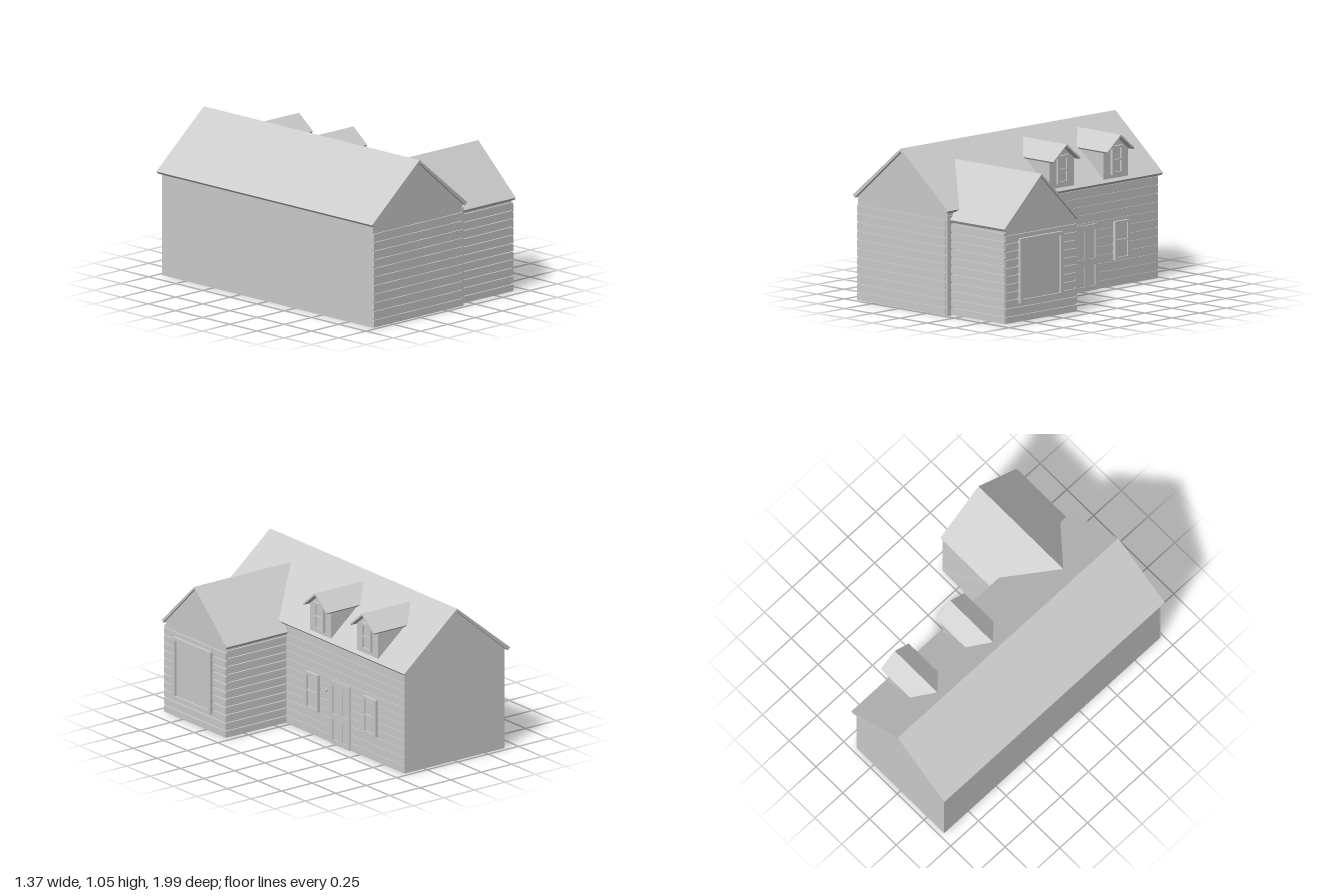
import * as THREE from 'three';

const grey = new THREE.MeshStandardMaterial({ color: 0xcccccc, flatShading: true });

function add(parent, name, geometry) {
  const mesh = new THREE.Mesh(geometry, grey);
  mesh.name = name;
  parent.add(mesh);
  return mesh;
}

// Box given by its lower and upper corners
function block(parent, name, [x0, y0, z0], [x1, y1, z1]) {
  const mesh = add(parent, name, new THREE.BoxGeometry(x1 - x0, y1 - y0, z1 - z0));
  mesh.position.set((x0 + x1) / 2, (y0 + y1) / 2, (z0 + z1) / 2);
  return mesh;
}

function shapeOf(points) {
  return new THREE.Shape(points.map(([x, y]) => new THREE.Vector2(x, y)));
}

function extrude(shape, from, to) {
  return new THREE.ExtrudeGeometry(shape, { depth: to - from, bevelEnabled: false }).translate(0, 0, from);
}

// Symmetric gabled wall block, half-width w
const gableWall = (w, base, eave, ridge) =>
  shapeOf([[-w, base], [w, base], [w, eave], [0, ridge], [-w, eave]]);

// Roof section: outer eave (w, eave), inner eave (wi, eaveIn)
const gableRoof = (w, eave, ridge, wi, eaveIn, ridgeIn) =>
  shapeOf([[w, eave], [0, ridge], [-w, eave], [-wi, eaveIn], [0, ridgeIn], [wi, eaveIn]]);

// Stack of horizontal boards between two plan corners
function siding(parent, name, x0, x1, z0, z1, base, pitch, count, gap) {
  const group = new THREE.Group();
  group.name = name;
  for (let i = 0; i < count; i++) {
    const y = base + i * pitch;
    block(group, 'board', [x0, y, z0], [x1, y + pitch - gap, z1]);
  }
  parent.add(group);
}

// Panel facing +x with rectangular holes, centred on z; holes as [z0, y0, z1, y1]
function panelFacingX(parent, name, hw, y0, y1, holes, x0, x1, z) {
  const shape = shapeOf([[-hw, y0], [hw, y0], [hw, y1], [-hw, y1]]);
  for (const [a, b, c, d] of holes) shape.holes.push(shapeOf([[a, b], [a, d], [c, d], [c, b]]));
  const mesh = add(parent, name, extrude(shape, x0, x1).rotateY(Math.PI / 2));
  mesh.position.z = z;
}

// Framed sash window with two stacked panes
function sashWindow(parent, hw, y0, y1, x0, x1, z) {
  const group = new THREE.Group();
  group.name = 'window';
  const b = 0.016, mid = (y0 + y1) / 2;
  panelFacingX(group, 'windowFrame', hw, y0, y1, [
    [-hw + b, y0 + b, hw - b, mid - 0.005],
    [-hw + b, mid + 0.005, hw - b, y1 - b],
  ], x0, x1, z);
  block(group, 'windowGlass', [x0, y0 + b, z - hw + b], [x1 - 0.012, y1 - b, z + hw - b]);
  parent.add(group);
}

function dormer(parent, z) {
  const group = new THREE.Group();
  group.name = 'dormer';
  const walls = extrude(gableWall(0.112, 0.712, 0.9, 0.988), -0.15, 0.163).rotateY(Math.PI / 2);
  add(group, 'dormerWalls', walls);
  const roof = extrude(gableRoof(0.127, 0.9, 1.002, 0.12, 0.89, 0.988), -0.188, 0.21).rotateY(Math.PI / 2);
  add(group, 'dormerRoof', roof);
  sashWindow(group, 0.05, 0.738, 0.925, 0.16, 0.18, 0);
  group.position.z = z;
  parent.add(group);
}

export function createModel() {
  const house = new THREE.Group();
  house.name = 'house';

  // Main block with its roof along z
  const main = new THREE.Group();
  main.name = 'mainBlock';
  house.add(main);
  add(main, 'mainWalls', extrude(gableWall(0.407, 0, 0.69, 1.032), -0.97, 0.97)).position.x = -0.25;
  add(main, 'mainRoof', extrude(gableRoof(0.435, 0.694, 1.053, 0.417, 0.677, 1.032), -0.995, 0.99)).position.x = -0.25;
  siding(main, 'frontSiding', -0.657, 0.151, 0.965, 0.98, 0.003, 0.0577, 11, 0.01);
  siding(main, 'sideSiding', 0.15, 0.163, -0.968, 0.285, 0, 0.0565, 12, 0.006);
  block(main, 'cornerPost', [0.152, 0, 0.93], [0.165, 0.66, 0.975]);

  // Side wing with its roof along x
  const wing = new THREE.Group();
  wing.name = 'wing';
  wing.position.z = 0.612;
  house.add(wing);
  add(wing, 'wingWalls', extrude(gableWall(0.32, 0.003, 0.63, 0.936), 0, 0.648).rotateY(Math.PI / 2));
  add(wing, 'wingRoof', extrude(gableRoof(0.344, 0.63, 0.953, 0.333, 0.613, 0.936), -0.128, 0.664).rotateY(Math.PI / 2));
  for (const s of [-1, 1]) {
    const z = s * 0.325;
    siding(wing, 'wingSideSiding', 0.163, 0.65, z - 0.007, z + 0.007, 0.005, 0.055, 11, 0.011);
  }
  siding(wing, 'wingEndSiding', 0.64, 0.66, -0.328, 0.328, 0.005, 0.0535, 11, 0.011);

  // Large picture window on the wing end
  panelFacingX(wing, 'pictureWindowFrame', 0.2, 0.128, 0.555, [[-0.174, 0.152, 0.174, 0.532]], 0.645, 0.68, 0.012);
  block(wing, 'pictureWindowGlass', [0.64, 0.15, -0.164], [0.667, 0.534, 0.188]);

  // Side windows, door and knob
  for (const z of [-0.008, -0.622]) sashWindow(main, 0.067, 0.173, 0.427, 0.155, 0.184, z);
  const panels = [];
  for (const s of [-1, 1]) {
    const a = s * 0.05 - 0.03;
    panels.push([a, 0.03, a + 0.06, 0.17], [a, 0.21, a + 0.06, 0.4]);
  }
  panelFacingX(main, 'doorFrame', 0.1, 0, 0.435, panels, 0.155, 0.174, -0.3);
  block(main, 'doorPanel', [0.15, 0.005, -0.395], [0.167, 0.43, -0.205]);
  const knob = add(main, 'doorBell', new THREE.SphereGeometry(0.01, 12, 8));
  knob.position.set(0.17, 0.35, -0.15);

  // Roof dormers
  for (const z of [-0.08, -0.58]) dormer(house, z);

  return house;
}
